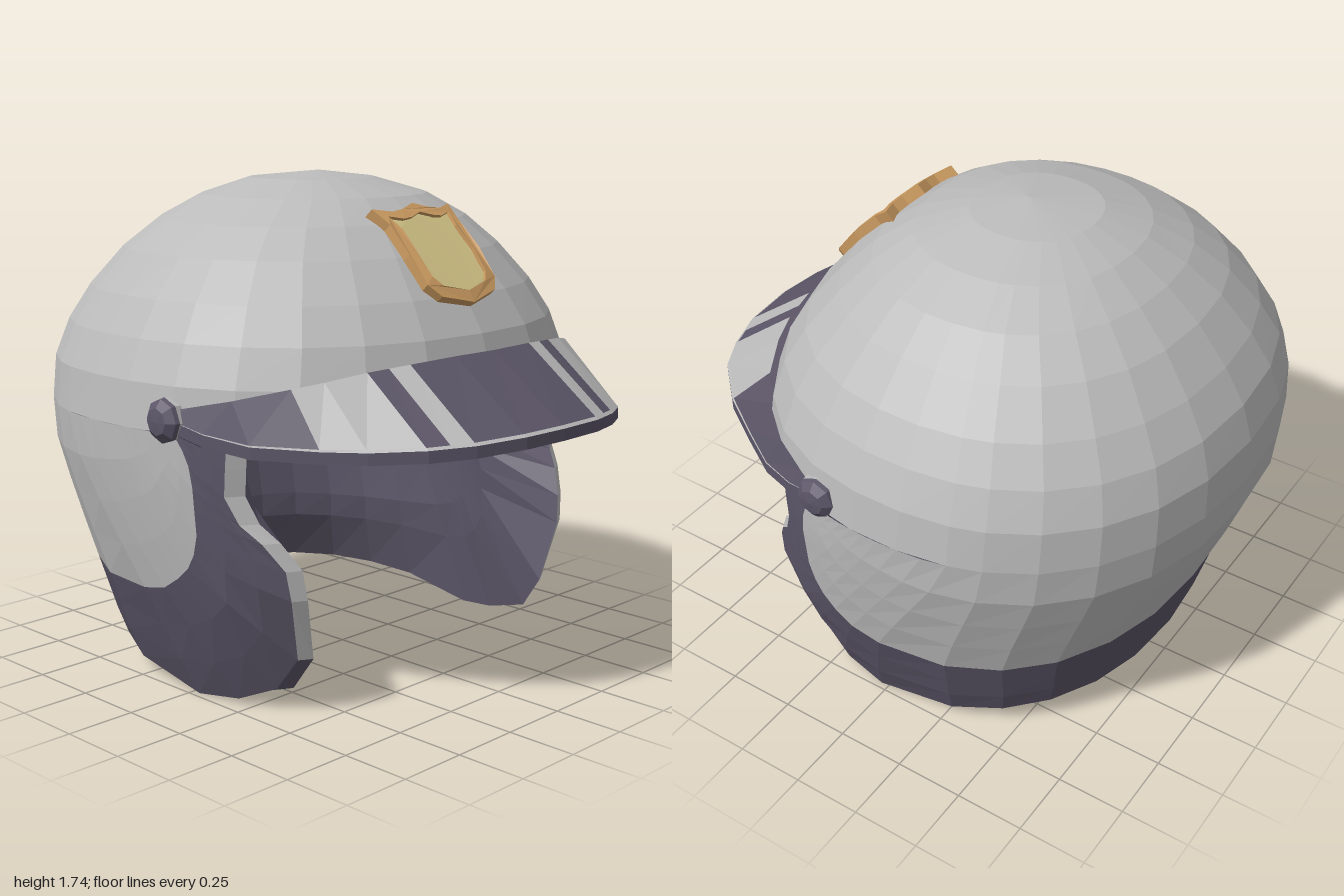
import * as THREE from 'three';

const mat = (name, color) => {
  const m = new THREE.MeshStandardMaterial({ color, side: THREE.DoubleSide });
  m.name = name;
  return m;
};
const { lerp, degToRad } = THREE.MathUtils;

// Shell sections: height, half width, front z, back z
const SECTIONS = [
  [0, .73, .60, -.70], [.15, .79, .66, -.76], [.4, .87, .74, -.83], [.6, .91, .73, -.91],
  [.8, .94, .72, -.99], [.95, .945, .71, -1], [1.1, .925, .69, -.995], [1.23, .87, .65, -.955],
  [1.35, .795, .575, -.88], [1.48, .68, .465, -.77], [1.58, .555, .36, -.65],
  [1.66, .40, .24, -.52], [1.715, .22, .06, -.37], [1.74, 0, -.12, -.12],
];
// Lining scale by height: the padding is thickest at the ears
const PADDING = [[.1, .88], [.35, .74], [.9, .66], [1.74, .85]];

// Linear lookup in a table whose first column is the key
function lookup(table, key) {
  let i = 0;
  while (i < table.length - 2 && key > table[i + 1][0]) i++;
  const a = table[i], b = table[i + 1];
  const t = THREE.MathUtils.clamp((key - a[0]) / (b[0] - a[0]), 0, 1);
  return a.map((v, k) => lerp(v, b[k], t));
}

// Point on the outer shell; phi is 90 at the front, 0 at the side, -90 at the back
function shell([phi, y]) {
  const [, w, zf, zb] = lookup(SECTIONS, y);
  const q = Math.sin(degToRad(phi));
  const c = Math.pow(Math.max(0, 1 - Math.pow(Math.abs(q), 2.25)), 1 / 2.25);
  return new THREE.Vector3(w * c, y, (zf + zb) / 2 + q * (zf - zb) / 2);
}
function toPhi([z, y]) {
  const [, , zf, zb] = lookup(SECTIONS, y);
  const q = THREE.MathUtils.clamp((2 * z - zf - zb) / (zf - zb), -1, 1);
  return [THREE.MathUtils.radToDeg(Math.asin(q)), y];
}
// Move a shell point inwards
const inset = (p, k) => new THREE.Vector3(p.x * k,
  p.y > .95 ? .95 + (p.y - .95) * k : p.y, -.12 + (p.z + .12) * k);
const pad = p => inset(p, lookup(PADDING, p.y)[1]);
const mirrorX = p => new THREE.Vector3(-p.x, p.y, p.z);
// Extend a left half row round the back to the right
const fullRow = half => [...half, ...half.slice(0, -1).reverse().map(mirrorX)];
const blend = (a, b, t) => a.map((p, i) => [lerp(p[0], b[i][0], t), lerp(p[1], b[i][1], t)]);

// Faceted surface through rows of points, listed from top to bottom
function patch(rows) {
  const pts = [];
  for (let r = 0; r < rows.length - 1; r++) {
    for (let c = 0; c < rows[r].length - 1; c++) {
      const a = rows[r][c], b = rows[r][c + 1], d = rows[r + 1][c], e = rows[r + 1][c + 1];
      pts.push(a, d, b, b, d, e);
    }
  }
  const g = new THREE.BufferGeometry().setFromPoints(pts);
  g.computeVertexNormals();
  return g;
}

export function createModel() {
  const model = new THREE.Group();
  model.name = 'helmet';
  const grey = mat('light grey', 0xbbbbbb), dark = mat('dark violet grey', 0x5c5668);
  const gold = mat('pale gold', 0xd4c588), bronze = mat('bronze', 0xca9a60);
  const add = (name, geometry, material, parent = model) => {
    const m = new THREE.Mesh(geometry, material);
    m.name = name;
    parent.add(m);
    return m;
  };

  // Side outlines: cheek part as z, y and neck part as phi, y
  const edge = [
    ...[[.31, .95], [.305, .85], [.30, .76], [.34, .67], [.40, .61], [.455, .52], [.465, .42],
      [.43, .2], [.34, .08], [.2, .02], [.03, 0]].map(toPhi),
    [-20, .055], [-36, .085], [-50, .11], [-64, .13], [-77, .145], [-90, .15]];
  const border = [
    ...[[.14, .95], [.17, .9], [.19, .85], [.2, .78], [.2, .7], [.2, .62], [.18, .55],
      [.15, .5], [.10, .455], [.03, .41], [-.08, .385]].map(toPhi),
    [-21, .375], [-36, .38], [-50, .39], [-64, .405], [-77, .415], [-90, .42]];
  const backPhis = [-18, -26, -38, -51, -64, -77, -90];
  const top = [border[0][0], 17, 15, 12, 9, 6, 3, -1, -6, -12, ...backPhis].map(p => [p, .95]);

  // Dome
  const domePhis = [90, 76, 62, 48, 34, border[0][0], 6, -6, ...backPhis];
  const domeRows = SECTIONS.slice(5).reverse().map(s => fullRow(domePhis.map(p => shell([p, s[0]]))));
  add('dome', patch(domeRows), grey);
  const domeInner = domeRows.map(r => r.map(pad));
  add('domeLining', patch([...domeInner].reverse()), dark);
  add('browRim', patch([domeRows.at(-1), domeInner.at(-1)]), dark);

  // Lower shell and dark trim
  const rowsBetween = (a, b, n) => Array.from({ length: n + 1 },
    (_, i) => fullRow(blend(a, b, i / n).map(shell)));
  const sideRows = rowsBetween(top, border, 4);
  const trimRows = rowsBetween(border, edge, 3);
  add('lowerShell', patch(sideRows), grey);
  add('trim', patch(trimRows), dark);

  // Rim, light along the cheeks and dark round the neck
  const outer = trimRows.at(-1);
  const last = outer.length - 1;
  const rim = outer.map((p, i) => {
    const q = inset(p, .93);
    if (Math.min(i, last - i) < 9) q.z += .065;
    return q;
  });
  add('leftCheekRim', patch([outer.slice(0, 8), rim.slice(0, 8)]), grey);
  add('rightCheekRim', patch([outer.slice(-8), rim.slice(-8)]), grey);
  add('neckRim', patch([outer.slice(7, -7), rim.slice(7, -7)]), dark);
  const lining = [...sideRows, trimRows[1]].reverse().map(r => r.map(pad));
  add('lining', patch([rim, ...lining]), dark);

  // Visor: x, outer z, outer y, inner z, inner y
  const VISOR = [[0, 1, .96, .70, 1.18], [.2, .985, .957, .69, 1.18], [.36, .935, .95, .655, 1.17],
    [.5, .86, .945, .60, 1.155], [.62, .72, .935, .53, 1.13], [.72, .56, .93, .445, 1.105],
    [.82, .40, .935, .32, 1.07], [.88, .25, .96, .19, 1.04], [.92, .12, 1, .10, 1.02]];
  const visorPoint = (x, t) => {
    const [, zo, yo, zi, yi] = lookup(VISOR, Math.abs(x));
    return new THREE.Vector3(x, lerp(yi, yo, t), lerp(zi, zo, t));
  };
  // Painted bands across the visor
  const bands = [[[-.92, -.88, -.82, -.7], dark], [[-.7, -.62, -.5], grey], [[-.5, -.43], dark],
    [[-.43, -.36], grey], [[-.36, -.18, 0, .2], dark], [[.2, .28], grey], [[.28, .35], dark],
    [[.35, .47, .61], grey], [[.61, .72, .82, .88, .92], dark]];
  const visor = new THREE.Group();
  visor.name = 'visor';
  model.add(visor);
  for (const [xs, m] of bands) {
    const [a, b, c] = [0, .96, 1].map(t => xs.map(x => visorPoint(x, t)));
    add('visorBand', patch([a, b]), m, visor);
    add('visorBorder', patch([b, c]), grey, visor);
  }
  const xs = bands.flatMap(([x], i) => (i ? x.slice(1) : x));
  const lip = xs.map(x => visorPoint(x, 1));
  const lipLow = lip.map(p => new THREE.Vector3(p.x, p.y - .04, p.z));
  const under = xs.map(x => new THREE.Vector3(x * .93, .915, visorPoint(x, 0).z - .06));
  add('visorUnderside', patch([lip, lipLow, under]), dark, visor);

  // Visor buttons
  const knob = points => {
    const g = new THREE.LatheGeometry(points.map(p => new THREE.Vector2(...p)), 8).toNonIndexed();
    g.computeVertexNormals();
    return g;
  };
  for (const side of [1, -1]) {
    const button = new THREE.Group();
    button.name = side > 0 ? 'leftButton' : 'rightButton';
    button.position.set(side * .875, .99, .1);
    button.rotation.z = -side * Math.PI / 2;
    add('buttonBase', knob([[.06, -.03], [.076, -.01], [.076, .035]]), grey, button);
    add('buttonCap', knob([[.076, .035], [.072, .05], [.045, .072], [0, .078]]), dark, button);
    model.add(button);
  }

  // Shield badge, bent to follow the dome
  const half = [[0, .215], [.07, .19], [.12, .185], [.192, .21], [.172, .13], [.178, 0],
    [.172, -.12], [.135, -.17], [0, -.207]];
  const outline = [...half, ...half.slice(1, -1).reverse().map(([x, y]) => [-x, y])];
  const points = k => outline.map(([x, y]) => new THREE.Vector2(x * k, y * k));
  const bend = g => {
    const p = g.attributes.position;
    for (let i = 0; i < p.count; i++) {
      p.setZ(i, p.getZ(i) - .35 * p.getX(i) ** 2 - .5 * p.getY(i) ** 2);
    }
    g.computeVertexNormals();
    return g;
  };
  const badge = new THREE.Group();
  badge.name = 'badge';
  badge.position.set(0, 1.48, .47);
  badge.rotation.x = -.733;
  model.add(badge);
  const frame = new THREE.Shape(points(1));
  frame.holes.push(new THREE.Path(points(.79)));
  add('badgeFrame', bend(new THREE.ExtrudeGeometry(frame, { depth: .055, bevelEnabled: false })
    .translate(0, 0, -.025)), bronze, badge);
  add('badgePanel', bend(new THREE.ShapeGeometry(new THREE.Shape(points(.8)))
    .translate(0, 0, .018)), gold, badge);

  return model;
}
